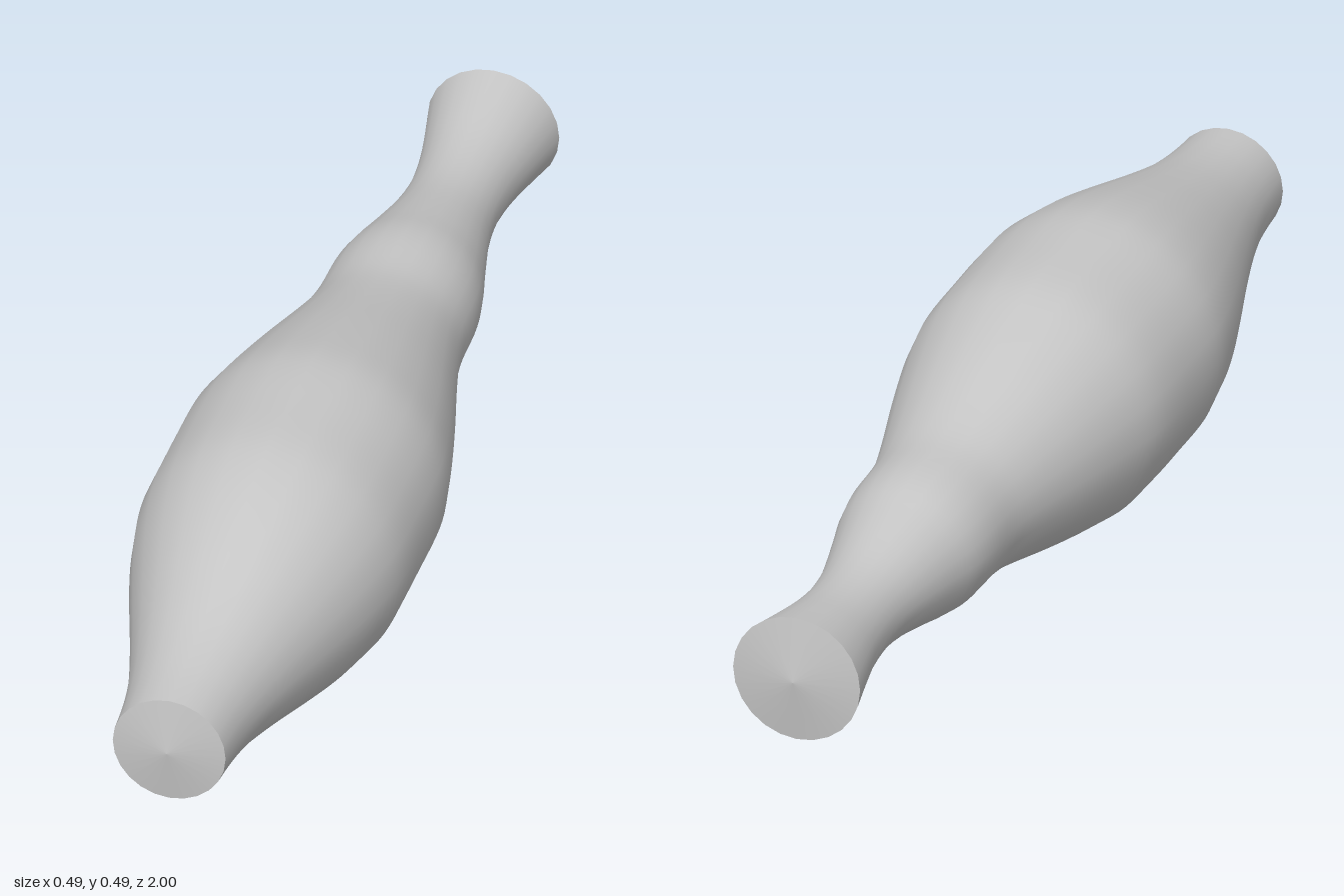
import * as THREE from 'three';

const SIDES = 24;
const AXIS_HEIGHT = 0.244;

// Surface of revolution about the z axis; points run from back to front
function turned(name, points, material) {
  const geometry = new THREE.LatheGeometry(points, SIDES);
  geometry.rotateX(Math.PI / 2);
  const mesh = new THREE.Mesh(geometry, material);
  mesh.name = name;
  mesh.position.y = AXIS_HEIGHT;
  return mesh;
}

export function createModel() {
  const grey = new THREE.MeshStandardMaterial({ color: 0xc6c6c6 });
  grey.name = 'light grey';

  const group = new THREE.Group();
  group.name = 'turnedHandle';

  // Swelling body, collar, narrow neck and flared end, as [z, radius]
  const profile = [
    [-0.982, 0.119], [-0.9, 0.102], [-0.82, 0.088], [-0.74, 0.083], [-0.66, 0.09],
    [-0.55, 0.114], [-0.48, 0.131], [-0.42, 0.138], [-0.34, 0.14], [-0.28, 0.148],
    [-0.2, 0.167], [-0.1, 0.194], [0, 0.219], [0.08, 0.236], [0.15, 0.242],
    [0.25, 0.2425], [0.35, 0.242], [0.42, 0.234], [0.5, 0.216], [0.6, 0.187],
    [0.7, 0.156], [0.8, 0.128], [0.88, 0.112], [0.94, 0.105], [0.985, 0.102],
  ].map(([z, r]) => new THREE.Vector2(r, z));
  const body = new THREE.SplineCurve(profile).getPoints(72);
  group.add(turned('body', body, grey));

  // Shallow cone closing each end
  group.add(turned('backCap', [new THREE.Vector2(0, -1), profile[0]], grey));
  group.add(turned('frontCap', [profile[profile.length - 1], new THREE.Vector2(0, 1)], grey));

  return group;
}
